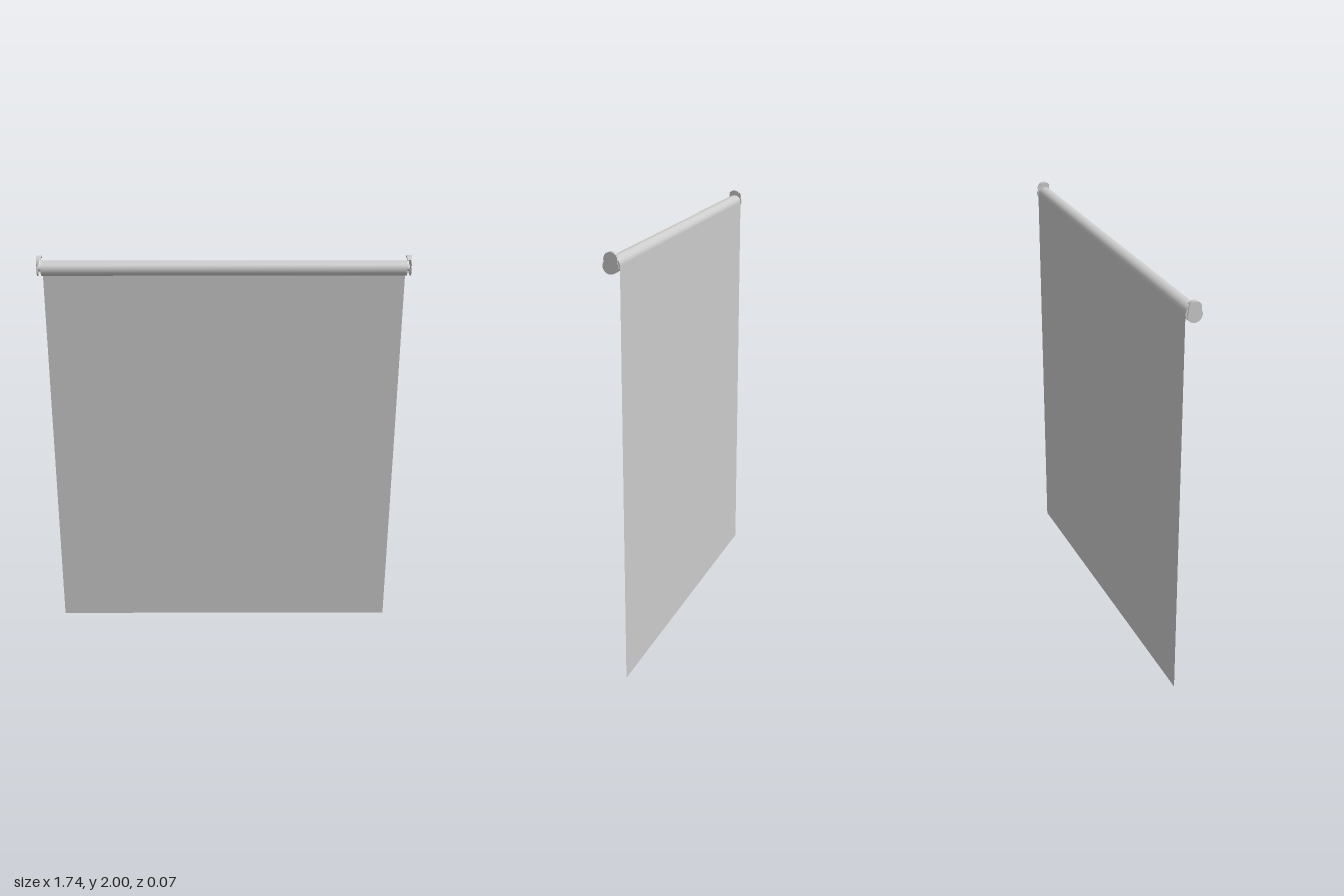
import * as THREE from 'three';

const ROLL_Y = 1.94, R = 0.035, HALF = 0.85, OUTER = 0.869, T = 0.005;
const TOP_Y = 1.969, TOP_R = 0.031;

export function createModel() {
  const group = new THREE.Group();
  const mat = new THREE.MeshStandardMaterial({ color: 0xcccccc });
  const thin = new THREE.MeshStandardMaterial({ color: 0xcccccc, side: THREE.DoubleSide });

  const add = (parent, name, geometry, material = mat) => {
    const mesh = new THREE.Mesh(geometry, material);
    mesh.name = name;
    parent.add(mesh);
    return mesh;
  };

  // Rolled fabric on its tube
  const roll = add(group, 'fabricRoll', new THREE.CylinderGeometry(R, R, HALF * 2, 48));
  roll.rotation.z = Math.PI / 2;
  roll.position.y = ROLL_Y;

  // Paper-thin sheet hanging tangent to the back of the roll
  const sheet = add(group, 'hangingSheet', new THREE.PlaneGeometry(HALF * 2, ROLL_Y), thin);
  sheet.position.set(0, ROLL_Y / 2, -R);

  // Side plate outline: a round lower disc joined to a smaller rounded head
  const d = TOP_Y - ROLL_Y;
  const meetY = (R * R - TOP_R * TOP_R + d * d) / (2 * d);
  const low = Math.asin(meetY / R), high = Math.asin((meetY - d) / TOP_R);
  const plate = new THREE.Shape();
  plate.absarc(0, TOP_Y, TOP_R, high, Math.PI - high, false);
  plate.absarc(0, ROLL_Y, R, Math.PI - low, Math.PI * 2 + low, false);

  // Curved lip bent inwards along the top of the plate
  const lip = new THREE.Shape();
  const a = Math.PI * 0.19;
  lip.absarc(0, TOP_Y, TOP_R, a, Math.PI - a, false);
  lip.absarc(0, TOP_Y, TOP_R - T, Math.PI - a, a, true);

  const extrude = (shape, depth) =>
    new THREE.ExtrudeGeometry(shape, { depth, bevelEnabled: false, curveSegments: 24 });

  for (const side of [1, -1]) {
    const bracket = new THREE.Group();
    bracket.name = side > 0 ? 'leftBracket' : 'rightBracket';
    // Turned so that local x points outwards on either side
    bracket.rotation.y = side > 0 ? 0 : Math.PI;

    const sidePlate = add(bracket, 'sidePlate', extrude(plate, T));
    sidePlate.rotation.y = Math.PI / 2;
    sidePlate.position.x = OUTER - T;

    const topLip = add(bracket, 'topLip', extrude(lip, OUTER - T - 0.847));
    topLip.rotation.y = Math.PI / 2;
    topLip.position.x = 0.847;

    // Pin carrying the roll
    const pin = add(bracket, 'pin', new THREE.CylinderGeometry(0.015, 0.015, OUTER - HALF, 24));
    pin.rotation.z = Math.PI / 2;
    pin.position.set((OUTER + HALF) / 2 - 0.002, ROLL_Y, 0);

    group.add(bracket);
  }
  return group;
}
